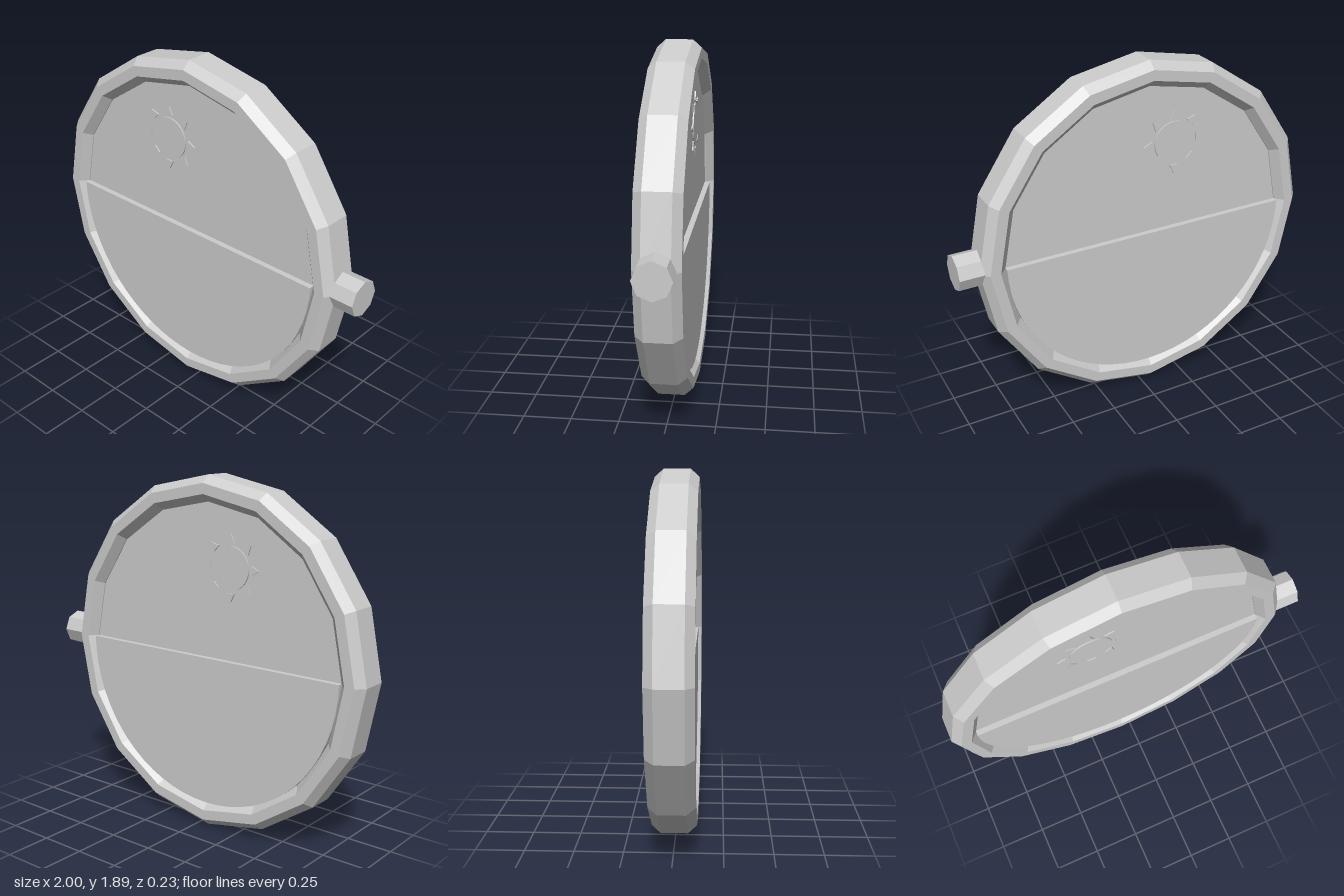
import * as THREE from 'three';

const CX = -0.055, CY = 0.945; // centre of the round body

export function createModel() {
  const model = new THREE.Group();
  const grey = new THREE.MeshStandardMaterial({ color: 0xcccccc, flatShading: true });
  grey.name = 'light grey';

  function add(name, geometry, parent = model) {
    const mesh = new THREE.Mesh(geometry, grey);
    mesh.name = name;
    parent.add(mesh);
    return mesh;
  }

  // Plate of the given shape, centred on z = 0
  function plate(shape, depth) {
    const geometry = new THREE.ExtrudeGeometry(shape, { depth, bevelEnabled: false, curveSegments: 16 });
    return geometry.translate(0, 0, -depth / 2);
  }

  const body = new THREE.Group();
  body.name = 'body';
  body.position.set(CX, CY, 0);
  model.add(body);

  // Sixteen-sided rim with a chamfered section
  const section = [
    [0.945, -0.07], [0.945, 0.07], [0.905, 0.115], [0.85, 0.115],
    [0.81, 0.07], [0.81, -0.07], [0.85, -0.115], [0.905, -0.115], [0.945, -0.07],
  ].map(([r, h]) => new THREE.Vector2(r, h));
  add('rim', new THREE.LatheGeometry(section, 16).rotateX(Math.PI / 2), body);

  // Recessed disc filling the rim
  add('backDisc', new THREE.CylinderGeometry(0.81, 0.81, 0.13, 32).rotateX(Math.PI / 2), body);

  // Thicker lower half
  const half = new THREE.Shape();
  half.absarc(0, 0, 0.81, Math.PI, Math.PI * 2, false);
  half.closePath();
  add('lowerHalf', plate(half, 0.19), body);

  // Sun on both faces: a thin disc with eight pointed rays
  const ray = new THREE.Shape([
    new THREE.Vector2(0.13, -0.023), new THREE.Vector2(0.175, 0), new THREE.Vector2(0.13, 0.023),
  ]);
  for (const side of [1, -1]) {
    const sun = new THREE.Group();
    sun.name = side > 0 ? 'frontSun' : 'backSun';
    sun.position.set(-0.145, 0.485, side * 0.068);
    body.add(sun);
    add('sunDisc', new THREE.CylinderGeometry(0.112, 0.112, 0.008, 32).rotateX(Math.PI / 2), sun);
    for (let i = 0; i < 8; i++) {
      add('sunRay', plate(ray, 0.008), sun).rotation.z = i * Math.PI / 4;
    }
  }

  // Eight-sided knob on the side
  const knob = add('knob', new THREE.CylinderGeometry(0.095, 0.095, 0.16, 8).rotateZ(-Math.PI / 2));
  knob.position.set(0.92, CY + 0.005, 0);

  return model;
}
